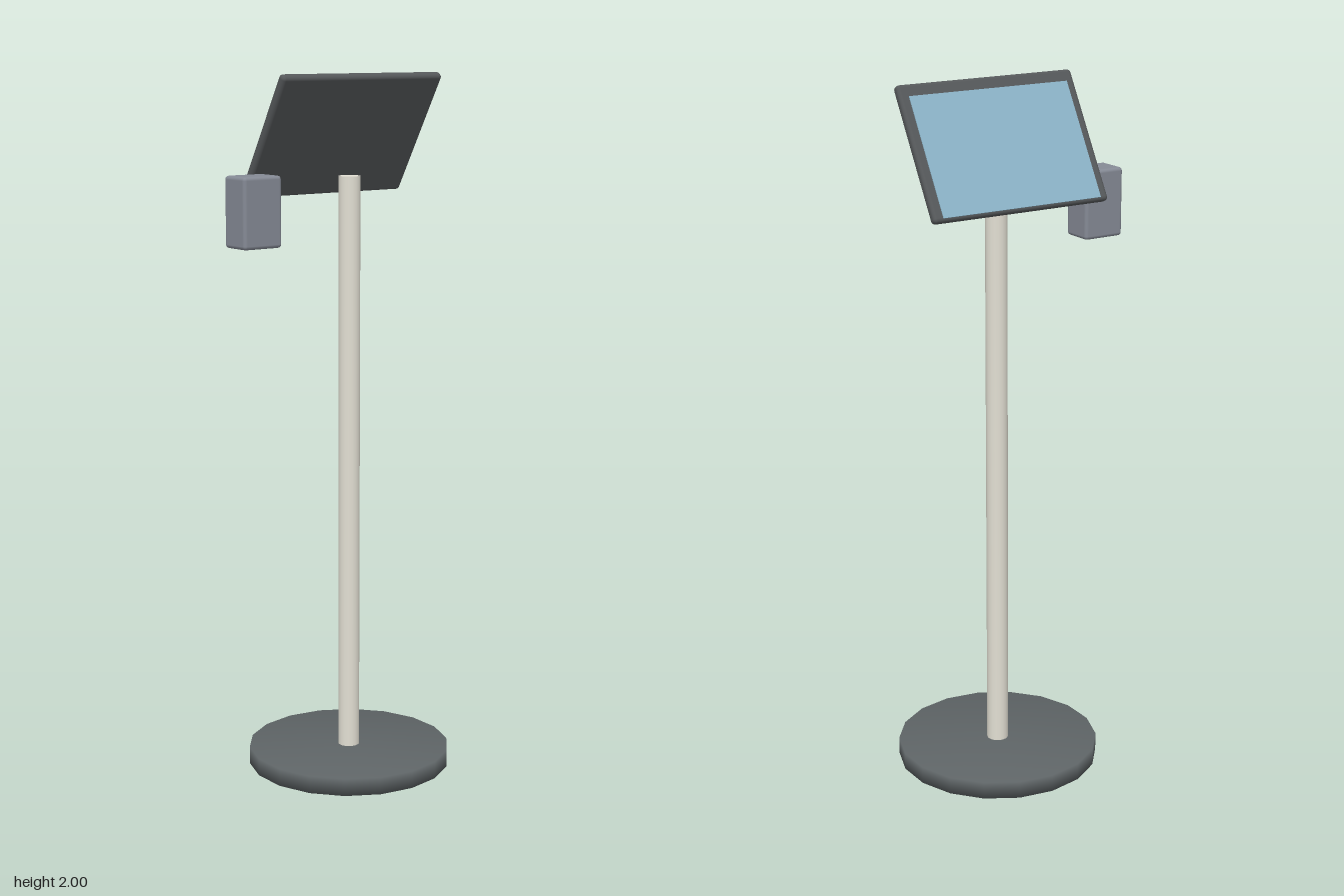
import * as THREE from 'three';
import { mergeVertices } from 'three/addons/utils/BufferGeometryUtils.js';
import { RoundedBoxGeometry } from 'three/addons/geometries/RoundedBoxGeometry.js';

const POST_X = 0.05;

function addPart(parent, name, geometry, color, x, y, z) {
  const mesh = new THREE.Mesh(geometry, new THREE.MeshStandardMaterial({ color }));
  mesh.name = name;
  mesh.position.set(x, y, z);
  parent.add(mesh);
  return mesh;
}

// Cylinder whose caps and wall share normals, for a soft-shaded disc
function softCylinder(radius, height, sides) {
  const raw = new THREE.CylinderGeometry(radius, radius, height, sides);
  raw.deleteAttribute('normal');
  raw.deleteAttribute('uv');
  const geometry = mergeVertices(raw);
  geometry.computeVertexNormals();
  return geometry;
}

export function createModel() {
  const model = new THREE.Group();
  model.name = 'kioskStand';

  // Floor plate and post
  addPart(model, 'base', softCylinder(0.293, 0.05, 18), 0x5e6466, POST_X, 0.025, 0);
  addPart(model, 'post', new THREE.CylinderGeometry(0.031, 0.031, 1.67, 18), 0xe2dfd3, POST_X, 0.88, 0);

  // Tilted display, its screen facing up and to the back
  const display = new THREE.Group();
  display.name = 'display';
  display.position.set(POST_X, 1.828, -0.034);
  display.rotation.x = Math.PI / 6;
  model.add(display);
  addPart(display, 'displayHousing', new RoundedBoxGeometry(0.554, 0.385, 0.027, 2, 0.011), 0x55585a, 0, 0, 0);
  addPart(display, 'screen', new THREE.BoxGeometry(0.5, 0.34, 0.006), 0x8cb4c8, 0, -0.014, -0.013);

  // Separate reader box beside the display
  addPart(model, 'cardReader', new RoundedBoxGeometry(0.125, 0.195, 0.095, 2, 0.01), 0x858a95, -0.277, 1.632, -0.002);

  return model;
}
